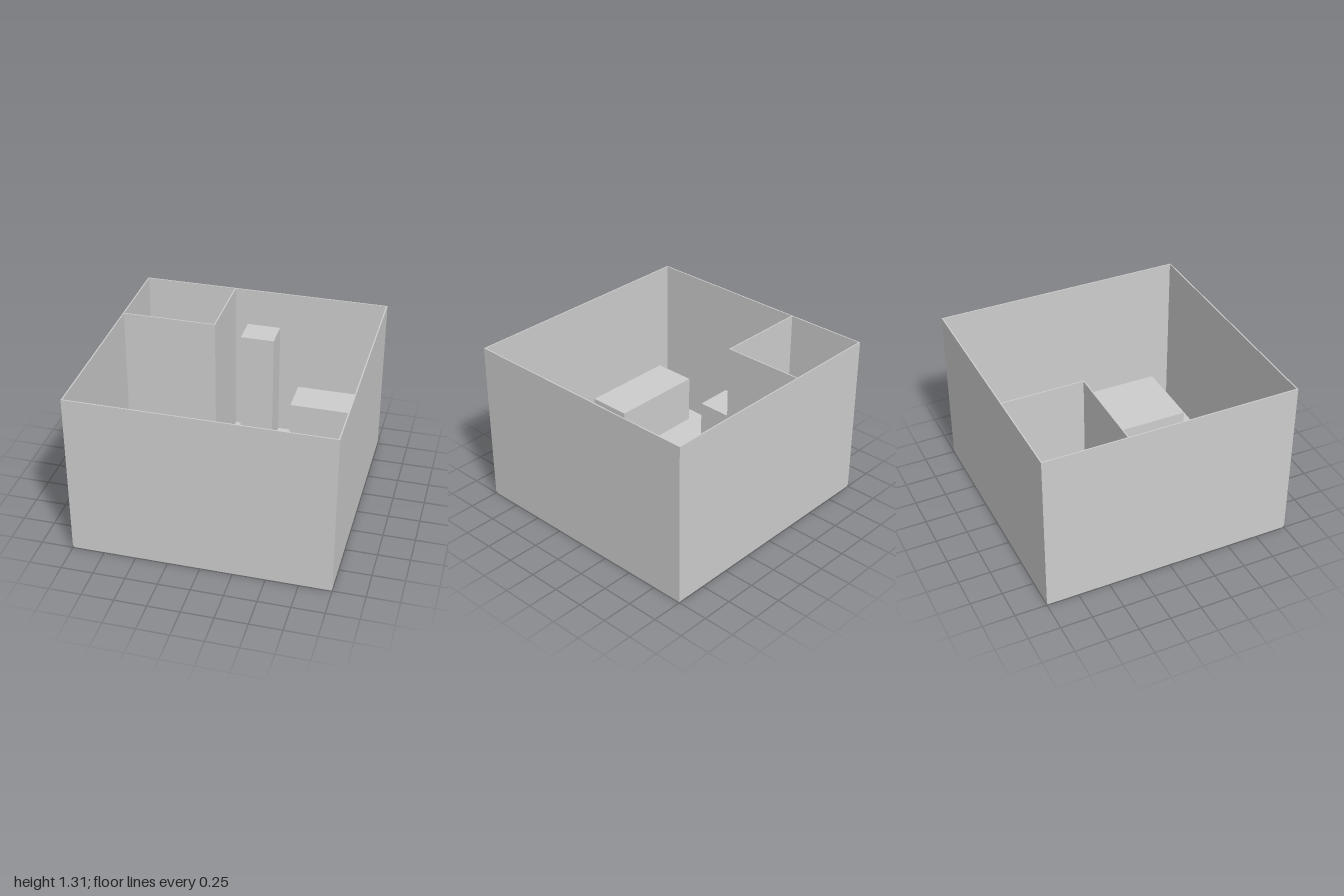
import * as THREE from 'three';

export function createModel() {
  const model = new THREE.Group();
  const grey = new THREE.MeshStandardMaterial({ color: 0xcccccc });
  grey.name = 'plain grey';

  // Box given by its extents on each axis
  function box(name, x0, x1, y0, y1, z0, z1, parent = model) {
    const mesh = new THREE.Mesh(new THREE.BoxGeometry(x1 - x0, y1 - y0, z1 - z0), grey);
    mesh.position.set((x0 + x1) / 2, (y0 + y1) / 2, (z0 + z1) / 2);
    mesh.name = name;
    parent.add(mesh);
  }

  const floorTop = 0.02, wallTop = 1.315, t = 0.01;

  // Floor slab, set in slightly from the outer wall faces
  box('floor', -0.995, 0.995, 0, floorTop, -0.995, 0.995);

  // Outer walls
  const walls = new THREE.Group();
  walls.name = 'outerWalls';
  model.add(walls);
  box('backWall', -1, 1, floorTop, wallTop, -1, -1 + t, walls);
  box('frontWall', -1, 1, floorTop, wallTop, 1 - t, 1, walls);
  box('rightWall', -1, -1 + t, floorTop, wallTop, -1 + t, 1 - t, walls);
  box('leftWall', 1 - t, 1, floorTop, wallTop, -1 + t, 1 - t, walls);

  // Bathroom partitions in the back corner
  const partitions = new THREE.Group();
  partitions.name = 'bathroomPartitions';
  model.add(partitions);
  box('sidePartition', -0.255, -0.245, floorTop, wallTop, -1 + t, -0.345, partitions);
  box('frontPartition', -1 + t, -0.255, floorTop, wallTop, -0.355, -0.345, partitions);

  // Block furniture: name, x range, z range, height above the floor
  const furniture = [
    ['showerTray', -0.945, -0.6, -0.985, -0.64, 0.05],
    ['washbasin', -0.49, -0.295, -0.95, -0.75, 0.42],
    ['toilet', -0.645, -0.45, -0.625, -0.38, 0.2],
    ['fridge', -0.14, 0.135, -0.975, -0.74, 0.99],
    ['kitchenCounter', 0.3, 0.94, -0.975, -0.675, 0.45],
    ['desk', -0.97, -0.665, -0.3, 0.295, 0.375],
    ['bed', 0.345, 0.94, -0.18, 0.82, 0.25],
    ['sofa', -0.87, -0.08, 0.62, 0.97, 0.4],
  ];
  for (const [name, x0, x1, z0, z1, h] of furniture) {
    box(name, x0, x1, floorTop, floorTop + h, z0, z1);
  }

  return model;
}
